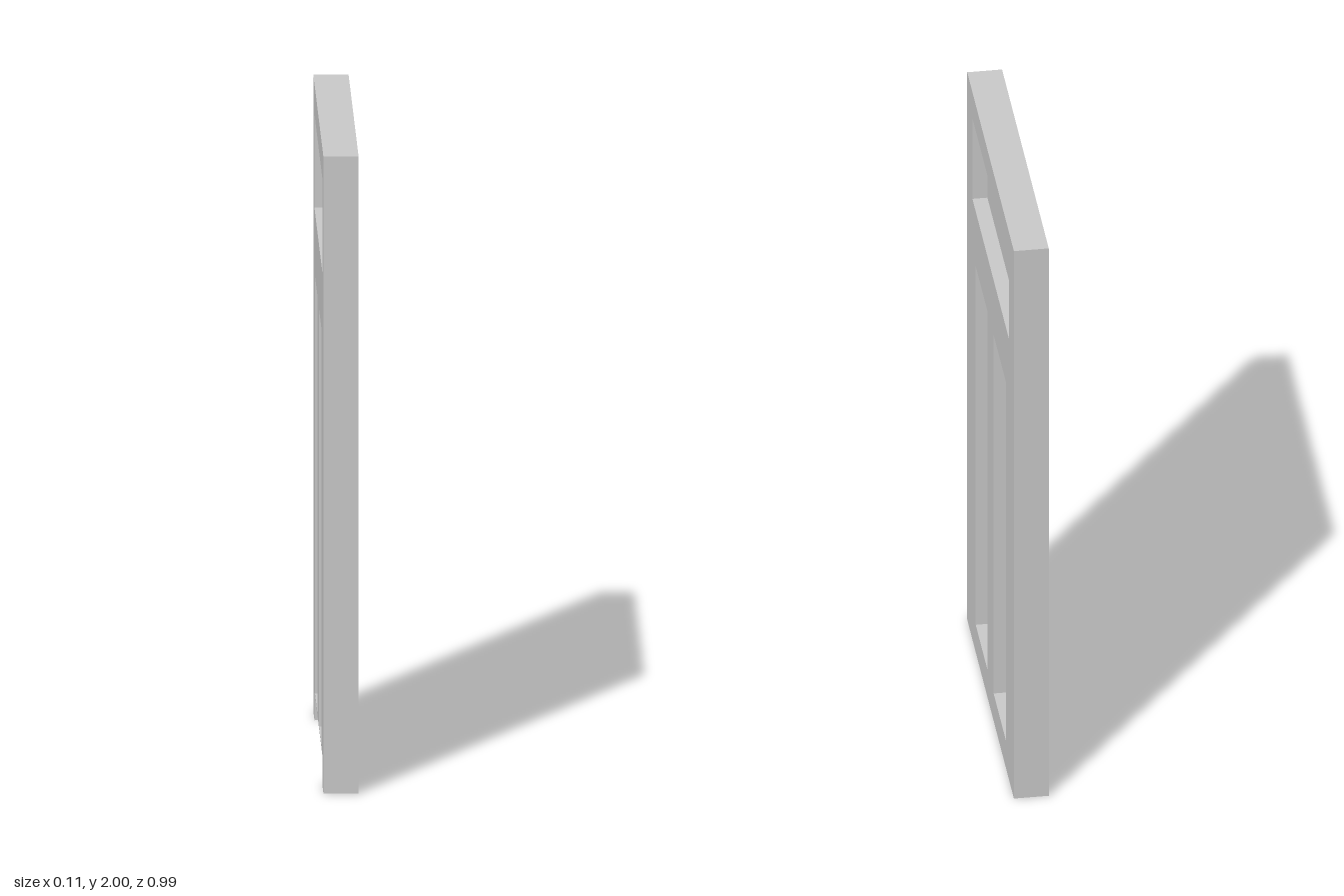
import * as THREE from 'three';

const HALF_W = 0.495, HEIGHT = 2, THICK = 0.107;
const NOTCH = { u0: -0.385, u1: 0.39, h: 0.093 };
const CORE = 0.015; // thickness of the recessed panels

// Openings in the door face: u runs along -z, y is up
const OPENINGS = [
  { name: 'topPanel', u0: -0.385, u1: 0.39, y0: 1.61, y1: 1.905 },
  { name: 'lowerPanelFront', u0: -0.315, u1: -0.07, y0: 0.1, y1: 1.41 },
  { name: 'lowerPanelBack', u0: 0.065, u1: 0.33, y0: 0.1, y1: 1.41 },
];

const polygon = (pts) => pts.map(([u, y]) => new THREE.Vector2(u, y));

export function createModel() {
  const model = new THREE.Group();
  model.name = 'door';
  const material = new THREE.MeshStandardMaterial({ color: 0xcccccc, flatShading: true });

  const add = (name, geometry) => {
    const mesh = new THREE.Mesh(geometry, material);
    mesh.name = name;
    model.add(mesh);
    return mesh;
  };

  // Frame: the slab outline with a notch between two feet, and the openings cut through
  const outline = new THREE.Shape(polygon([
    [-HALF_W, 0], [NOTCH.u0, 0], [NOTCH.u0, NOTCH.h], [NOTCH.u1, NOTCH.h],
    [NOTCH.u1, 0], [HALF_W, 0], [HALF_W, HEIGHT], [-HALF_W, HEIGHT],
  ]));
  for (const { u0, u1, y0, y1 } of OPENINGS) {
    outline.holes.push(new THREE.Path(polygon([[u0, y0], [u0, y1], [u1, y1], [u1, y0]])));
  }
  const frame = new THREE.ExtrudeGeometry(outline, { depth: THICK, bevelEnabled: false });
  frame.translate(0, 0, -THICK / 2).rotateY(Math.PI / 2);
  add('frame', frame);

  // Recessed panels, set in the middle of the thickness
  for (const { name, u0, u1, y0, y1 } of OPENINGS) {
    add(name, new THREE.BoxGeometry(CORE, y1 - y0, u1 - u0))
      .position.set(0, (y0 + y1) / 2, -(u0 + u1) / 2);
  }

  // Thin kick strip closing the notch on the +x face only, seen from outside
  add('kickStrip', new THREE.PlaneGeometry(NOTCH.u1 - NOTCH.u0, NOTCH.h).rotateY(Math.PI / 2))
    .position.set(THICK / 2, NOTCH.h / 2, -(NOTCH.u0 + NOTCH.u1) / 2);

  return model;
}
